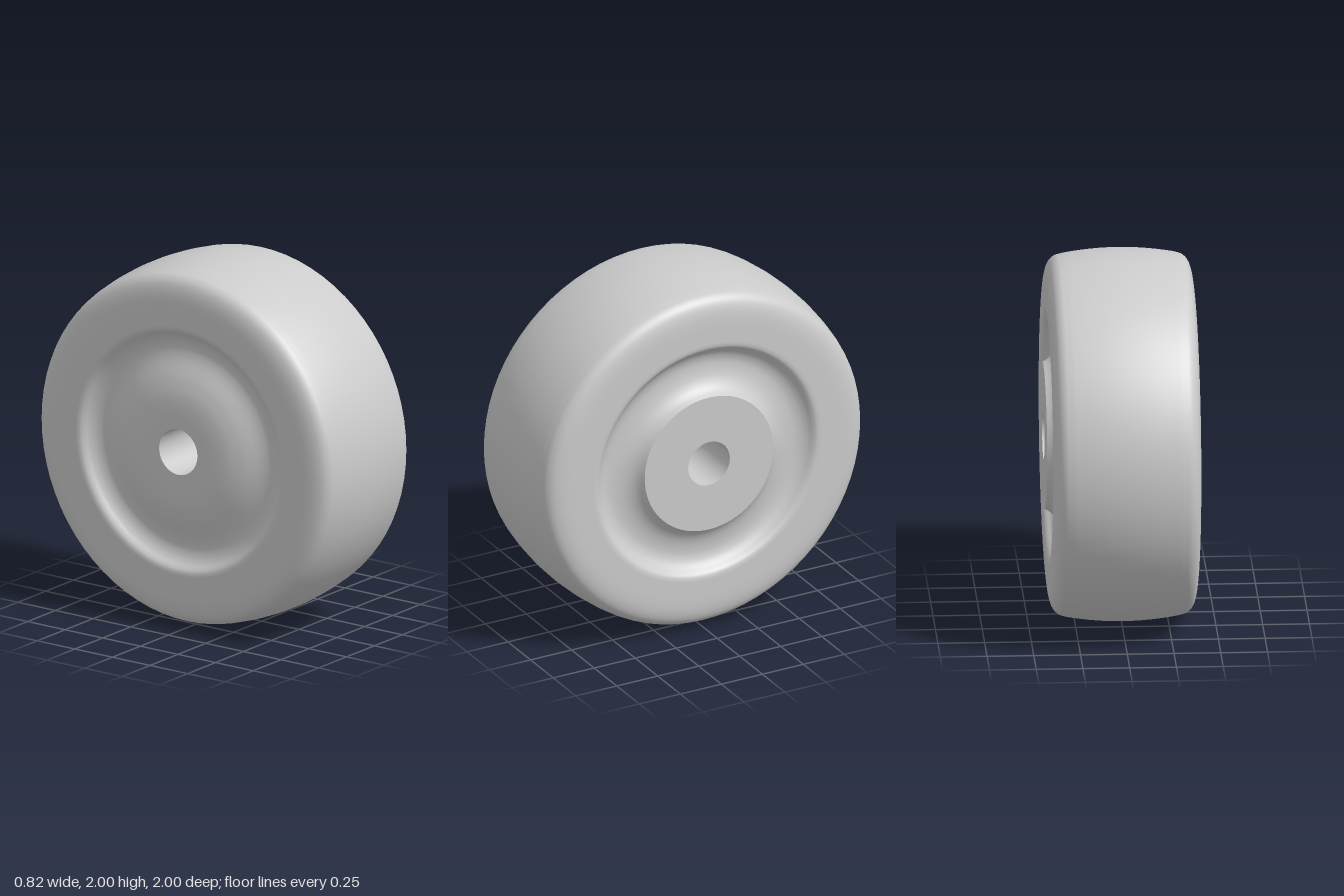
import * as THREE from 'three';

const SEGMENTS = 72;
const material = new THREE.MeshStandardMaterial({ color: 0xcccccc });

// Points are [radius, x]; the profile is revolved round the axle (x axis).
function revolve(name, profile, samples = 0) {
  let points = profile.map(([r, x]) => new THREE.Vector2(r, x));
  if (samples) points = new THREE.SplineCurve(points).getPoints(samples);
  const geometry = new THREE.LatheGeometry(points, SEGMENTS);
  geometry.rotateZ(-Math.PI / 2);
  const mesh = new THREE.Mesh(geometry, material);
  mesh.name = name;
  return mesh;
}

export function createModel() {
  const wheel = new THREE.Group();
  wheel.name = 'wheel';

  // Tyre: flat sidewalls, rounded shoulders, slightly crowned tread
  const half = [
    [0.70, 0.393], [0.72, 0.393], [0.80, 0.393], [0.86, 0.390], [0.905, 0.381],
    [0.938, 0.365], [0.961, 0.338], [0.971, 0.305], [0.978, 0.27], [0.989, 0.19], [0.997, 0.1],
  ];
  const tyre = [
    ...half.map(([r, x]) => [r, -x]),
    [1, 0],
    ...half.slice().reverse(),
  ];
  wheel.add(revolve('tyre', tyre, 88));

  // Left side: shallow rounded groove rising to the crisp edge of the hub
  const groove = [
    [0.70, 0.393], [0.685, 0.392], [0.668, 0.387], [0.652, 0.374], [0.635, 0.355],
    [0.61, 0.337], [0.58, 0.326], [0.55, 0.323], [0.51, 0.327], [0.47, 0.338],
    [0.435, 0.357], [0.41, 0.381], [0.392, 0.41],
  ];
  wheel.add(revolve('leftGroove', groove, 48));
  wheel.add(revolve('leftHubFace', [[0.392, 0.41], [0.127, 0.41]]));

  // Axle bore
  wheel.add(revolve('axleBore', [[0.127, 0.41], [0.127, -0.41]]));

  // Right side: softly domed hub flowing into the same groove
  const dome = [
    [0.127, -0.41], [0.2, -0.41], [0.26, -0.407], [0.31, -0.401], [0.35, -0.392],
    [0.40, -0.376], [0.44, -0.359], [0.48, -0.341], [0.515, -0.329],
    ...groove.slice(0, 8).reverse().map(([r, x]) => [r, -x]),
  ];
  wheel.add(revolve('rightHubAndGroove', dome, 56));

  wheel.position.y = 1;
  const model = new THREE.Group();
  model.add(wheel);
  return model;
}
